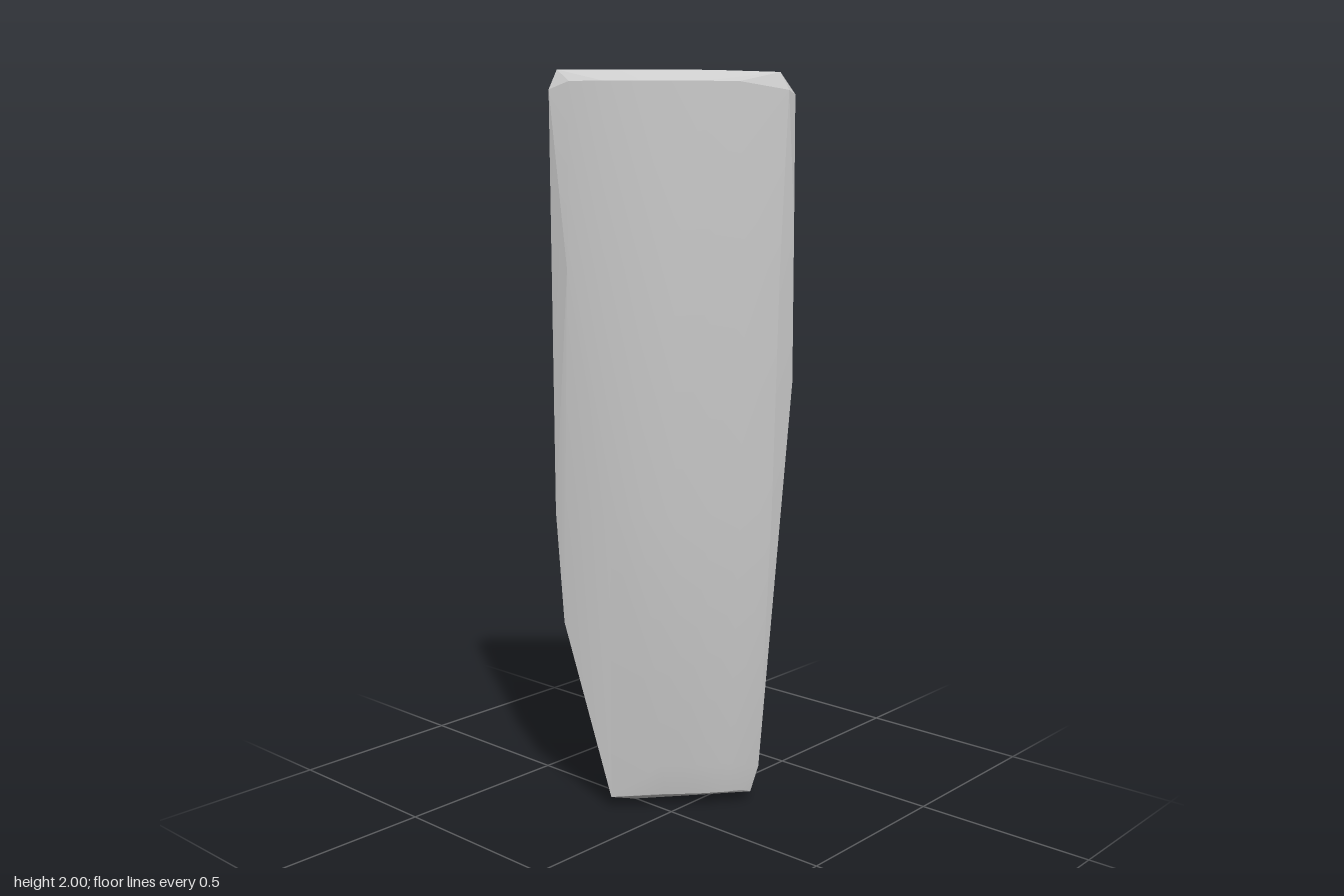
import * as THREE from 'three';
import { ConvexGeometry } from 'three/addons/geometries/ConvexGeometry.js';
import { toCreasedNormals } from 'three/addons/utils/BufferGeometryUtils.js';

// Points are [across, height, outward]: across runs along the wide face
// towards (-x, +z), outward is the direction the bulging face points (+x, +z).
const place = ([s, y, n]) =>
  new THREE.Vector3((n - s) * Math.SQRT1_2, y, (n + s) * Math.SQRT1_2);

export function createModel() {
  const group = new THREE.Group();
  const points = [];

  // Bulging outer face: bowed rows [height, left end, right end, edge depth, bow]
  const rows = [
    [1.97, 0.26, -0.255, 0.035, 0.027],
    [1.5, 0.27, -0.28, 0.030, 0.037],
    [0.85, 0.25, -0.27, 0.0, 0.036],
    [0.13, 0.15, -0.225, -0.042, 0.032],
    [0.04, 0.13, -0.2, -0.048, 0.02],
  ];
  for (const [y, left, right, edge, bow] of rows) {
    for (let i = 0; i <= 6; i++) {
      const t = i / 6;
      const arch = 1 - Math.pow(Math.abs(2 * t - 1), 2.4);
      points.push([left + (right - left) * t, y, edge + bow * arch]);
    }
  }

  // Sloping top: front crest and lower back edge
  points.push([0.29, 2, 0.007], [0.1, 2, 0.012], [-0.1, 2, 0.016], [-0.276, 1.995, 0.021]);
  points.push([0.212, 1.97, -0.042], [-0.177, 1.955, -0.035]);

  // Two long side edges
  points.push([0.311, 1.95, 0.021], [0.309, 0.85, -0.027], [0.29, 0.54, -0.035], [0.166, 0.03, -0.039]);
  points.push([-0.297, 1.95, 0.035], [-0.316, 1.94, 0.012], [-0.318, 1.62, 0.008],
    [-0.322, 1.2, -0.011], [-0.247, 0.11, -0.05], [-0.226, 0.03, -0.06]);

  // Ridged back, thickest near the foot
  points.push([-0.22, 1.65, -0.081], [0.2, 1.88, -0.05], [0.039, 0.13, -0.159],
    [-0.134, 0.015, -0.148], [0.131, 0.05, -0.117], [0.1, 0, -0.095], [-0.1, 0, -0.115]);

  const geometry = toCreasedNormals(new ConvexGeometry(points.map(place)), 0.22);
  const plank = new THREE.Mesh(geometry, new THREE.MeshStandardMaterial({ color: 0xcccccc }));
  plank.name = 'taperedSlab';
  group.add(plank);
  return group;
}
